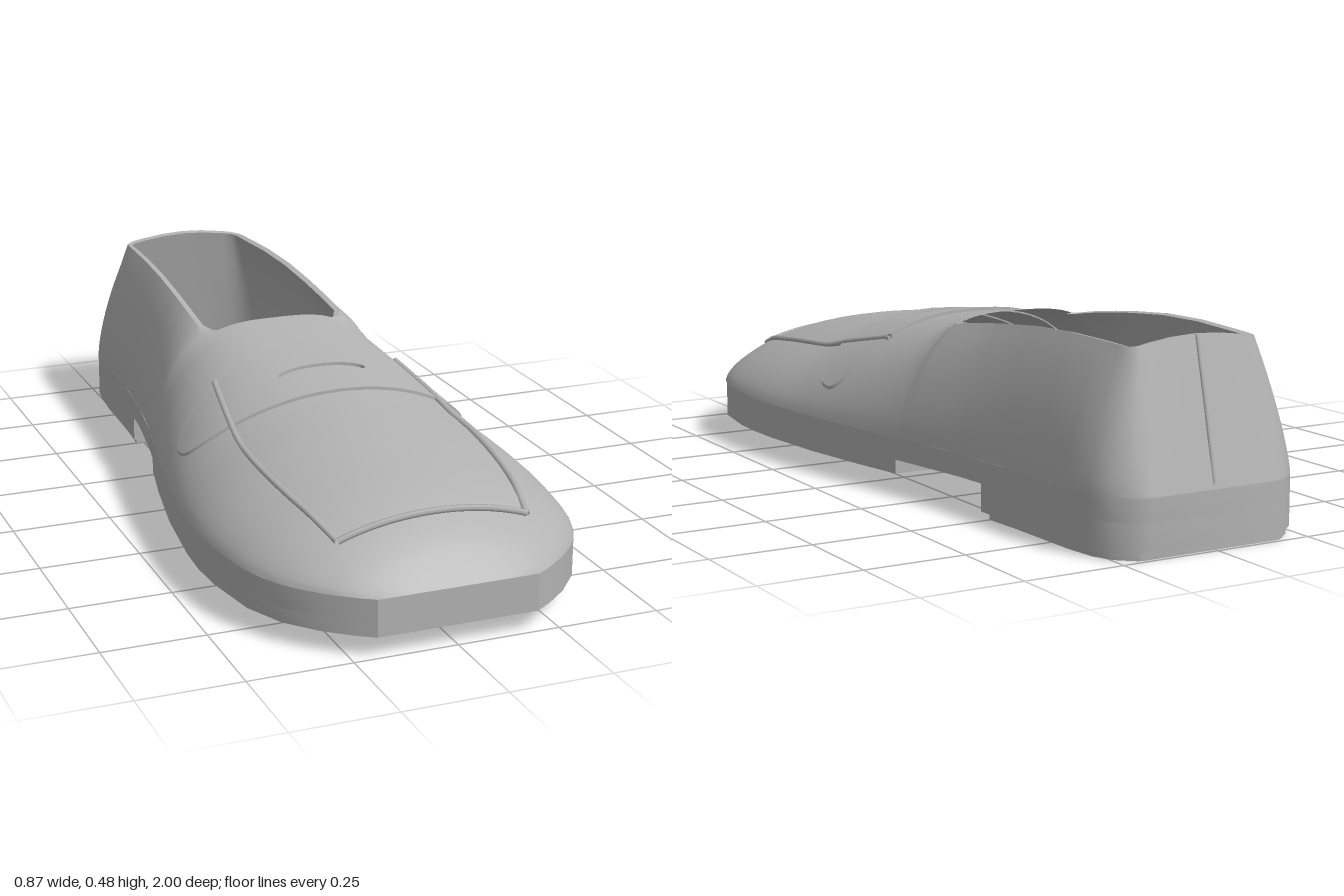
import * as THREE from 'three';
import { mergeGeometries, toCreasedNormals } from 'three/addons/utils/BufferGeometryUtils.js';

const lerp = THREE.MathUtils.lerp;
const clamp = THREE.MathUtils.clamp;
const WELT = 0.14;

// Smooth lookup in a table of [z, value], z falling
function at(table, z) {
  let i = 0;
  while (i < table.length - 2 && z < table[i + 1][0]) i++;
  const slope = (k) => {
    const a = table[Math.max(k - 1, 0)], b = table[Math.min(k + 1, table.length - 1)];
    return (b[1] - a[1]) / (b[0] - a[0]);
  };
  const [z0, v0] = table[i], [z1, v1] = table[i + 1];
  const d = z1 - z0, t = clamp((z - z0) / d, 0, 1), t2 = t * t, t3 = t2 * t;
  return (2 * t3 - 3 * t2 + 1) * v0 + (t3 - 2 * t2 + t) * d * slope(i)
    + (3 * t2 - 2 * t3) * v1 + (t3 - t2) * d * slope(i + 1);
}

// Half width of the outline, and ridge height over the forefoot
const WIDTH = [[1, 0.195], [0.97, 0.24], [0.92, 0.3], [0.85, 0.36], [0.75, 0.405], [0.6, 0.43],
  [0.5, 0.435], [0.4, 0.431], [0.2, 0.41], [0, 0.376], [-0.2, 0.335], [-0.4, 0.302], [-0.6, 0.284],
  [-0.82, 0.277], [-0.9, 0.267], [-0.95, 0.245], [-0.985, 0.205], [-1, 0.17]];
const RIDGE = [[1, WELT], [0.97, 0.175], [0.93, 0.215], [0.85, 0.265], [0.8, 0.285], [0.7, 0.31],
  [0.5, 0.345], [0.3, 0.37], [0.06, 0.4], [-0.155, 0.43]];
const width = (z) => at(WIDTH, z);
const centre = (z) => 0.01 * clamp((0.5 - z) / 0.7, 0, 1);
const dome = (r, p) => Math.pow(Math.max(1 - Math.pow(r, p), 0), 0.7);
const power = (z) => lerp(2, 3.2, clamp((0.35 - z) / 0.505, 0, 1));

// Point on the forefoot surface
function onUpper(x, z, lift = 0) {
  const r = Math.min(Math.abs(x) / width(z), 1);
  return [x + centre(z), WELT + (at(RIDGE, z) - WELT) * dome(r, power(z)) + lift, z];
}

// Surface through rows of points
function loft(rows) {
  const n = rows[0].length, index = [];
  for (let i = 0; i < rows.length - 1; i++) {
    for (let j = 0; j < n - 1; j++) {
      const a = i * n + j, b = a + n;
      index.push(a, b, a + 1, b, b + 1, a + 1);
    }
  }
  const g = new THREE.BufferGeometry();
  g.setAttribute('position', new THREE.Float32BufferAttribute(rows.flat(2), 3));
  g.setIndex(index);
  return g;
}

const STEPS = 12;
const FRONT_LIP = -0.155, LIP_HALF = 0.16;
const ease = (j) => Math.pow(j / STEPS, 1.6);

// Closed forefoot, from toe to the front lip of the opening
function forefoot() {
  const zs = [1, 0.985, 0.97, 0.95, 0.93, 0.905, 0.88, 0.85, 0.8];
  for (let z = 0.75; z > -0.14; z -= 0.05) zs.push(z);
  zs.push(FRONT_LIP);
  const r0 = LIP_HALF / width(FRONT_LIP);
  const rs = [];
  for (let j = 0; j <= STEPS; j++) rs.push(lerp(1, r0, ease(j)));
  for (let j = 1; j <= 6; j++) rs.push(r0 * (1 - j / 6));
  const full = [...rs, ...rs.slice(0, -1).reverse().map((r) => -r)];
  return loft(zs.map((z) => full.map((r) => onUpper(r * width(z), z))));
}

// Walls around the opening: outer side up to the collar, then the lining back down
function quarter() {
  // foot z, foot half width, collar z, collar half width, collar height, curve power, straightness
  const keys = [
    [FRONT_LIP, 0, FRONT_LIP, LIP_HALF, 0, 3.2, 0],
    [-0.165, 0, -0.165, 0.182, 0.412, 3.2, 0],
    [-0.2, 0, -0.2, 0.2, 0.418, 3, 0],
    [-0.3, 0, -0.3, 0.198, 0.432, 2.6, 0],
    [-0.4, 0, -0.4, 0.195, 0.444, 2.3, 0],
    [-0.55, 0, -0.54, 0.19, 0.457, 2.1, 0],
    [-0.7, 0, -0.69, 0.183, 0.462, 2, 0],
    [-0.82, 0, -0.8, 0.177, 0.46, 2, 0],
    [-0.9, 0, -0.875, 0.173, 0.458, 2, 0.1],
    [-0.95, 0, -0.905, 0.168, 0.457, 2, 0.4],
    [-0.985, 0, -0.918, 0.15, 0.46, 2, 0.8],
    [-1, 0.17, -0.92, 0.12, 0.465, 2, 1],
    [-1, 0.085, -0.92, 0.06, 0.473, 2, 1],
    [-1, 0, -0.92, 0, 0.476, 2, 1],
  ];
  return keys.map(([zo, wKey, zi, o, h, p, straight], i) => {
    const w = i < 11 ? width(zo) : wKey;
    const r0 = w > 0 ? o / w : 0.6;
    const top = i === 0 ? onUpper(o, zo)[1] : h;
    const inX = 0.016 * (1 - straight), inZ = 0.016 * straight;
    const side = (j, inner) => {
      const s = ease(j);
      const g = lerp(dome(lerp(1, r0, s), p) / dome(r0, p), s, straight);
      const x = lerp(w, o, s) - inner * inX;
      return [x, WELT + (top - WELT) * g - inner * 0.003, lerp(zo, zi, s) + inner * inZ];
    };
    const row = [];
    for (let j = 0; j <= STEPS; j++) row.push(side(j, 0));
    for (let j = STEPS; j >= 0; j--) row.push(side(j, 1));
    return row;
  });
}

function heelWalls() {
  const half = quarter();
  const mirrored = half.slice(0, -1).reverse().map((row) => row.map(([x, y, z]) => [-x, y, z]));
  return loft([...half, ...mirrored].map((row) => row.map(([x, y, z]) => [x + centre(z), y, z])));
}

// Flat layer of the sole between two z and two y values
function layer(z0, z1, y0, y1, inset = 0) {
  const zs = [z0, ...WIDTH.map((k) => k[0]).filter((z) => z > z0 + 0.001 && z < z1 - 0.001).reverse(), z1];
  const edge = (s) => zs.map((z) => new THREE.Vector2(centre(z) + s * (width(z) - inset), -z));
  const shape = new THREE.Shape([...edge(1), ...edge(-1).reverse()]);
  const g = new THREE.ExtrudeGeometry(shape, { depth: y1 - y0, bevelEnabled: false });
  return toCreasedNormals(g.rotateX(-Math.PI / 2).translate(0, y0, 0), 0.5);
}

// Saddle strap laid over the vamp with a lens-shaped slot
function strap() {
  const rings = [], turns = 72, count = 12;
  const spow = (v, e) => Math.sign(v) * Math.pow(Math.abs(v), e);
  const ring = (t, lift) => {
    const row = [];
    for (let k = 0; k <= turns; k++) {
      const a = (k / turns) * Math.PI * 2, c = Math.cos(a), s = Math.sin(a);
      row.push(onUpper(lerp(0.115 * c, 0.375 * spow(c, 0.75), t), 0.182 + lerp(0.03 * s, 0.12 * spow(s, 0.75), t), lift));
    }
    return row;
  };
  rings.push(ring(0, -0.004));
  for (let i = 0; i <= count; i++) rings.push(ring(i / count, 0.008));
  rings.push(ring(1, -0.004));
  return toCreasedNormals(loft(rings), 0.6);
}

function cord(points, radius) {
  const curve = new THREE.CatmullRomCurve3(points.map((p) => new THREE.Vector3(...p)));
  return new THREE.TubeGeometry(curve, 40, radius, 6, false);
}

export function createModel() {
  const group = new THREE.Group();
  const grey = new THREE.MeshStandardMaterial({ color: 0xb2b2b2, side: THREE.DoubleSide });
  grey.name = 'grey leather';
  const add = (name, geometry) => {
    const mesh = new THREE.Mesh(geometry, grey);
    mesh.name = name;
    group.add(mesh);
  };

  // Sole and heel
  add('sole', layer(-1, 1, 0.085, WELT));
  add('frontSole', layer(-0.15, 1, 0.05, 0.085));
  add('heel', layer(-1, -0.48, 0.017, 0.085));
  add('heelTip', layer(-0.99, -0.5, 0, 0.017, 0.01));

  // Upper
  add('upper', toCreasedNormals(mergeGeometries([forefoot(), heelWalls()]), 0.8));
  add('strap', strap());

  // Raised seams around the vamp
  const seam = [[0.07, 0.245], [0.16, 0.258], [0.25, 0.27], [0.35, 0.279], [0.45, 0.283], [0.55, 0.279],
    [0.65, 0.27], [0.75, 0.255], [0.857, 0.232]];
  for (const s of [1, -1]) {
    add(s > 0 ? 'leftVampSeam' : 'rightVampSeam',
      cord(seam.map(([z, x]) => onUpper(s * x, z, z < 0.31 ? 0.008 : 0.003)), 0.008));
  }
  const across = [];
  for (let i = -6; i <= 6; i++) across.push(onUpper((0.232 * i) / 6, 0.857, 0.004));
  add('toeSeam', cord(across, 0.008));

  // Back seam
  add('backSeam', cord([[0.01, 0.474, -0.92], [0.01, 0.31, -0.96], [0.01, 0.15, -0.996]], 0.005));
  return group;
}
